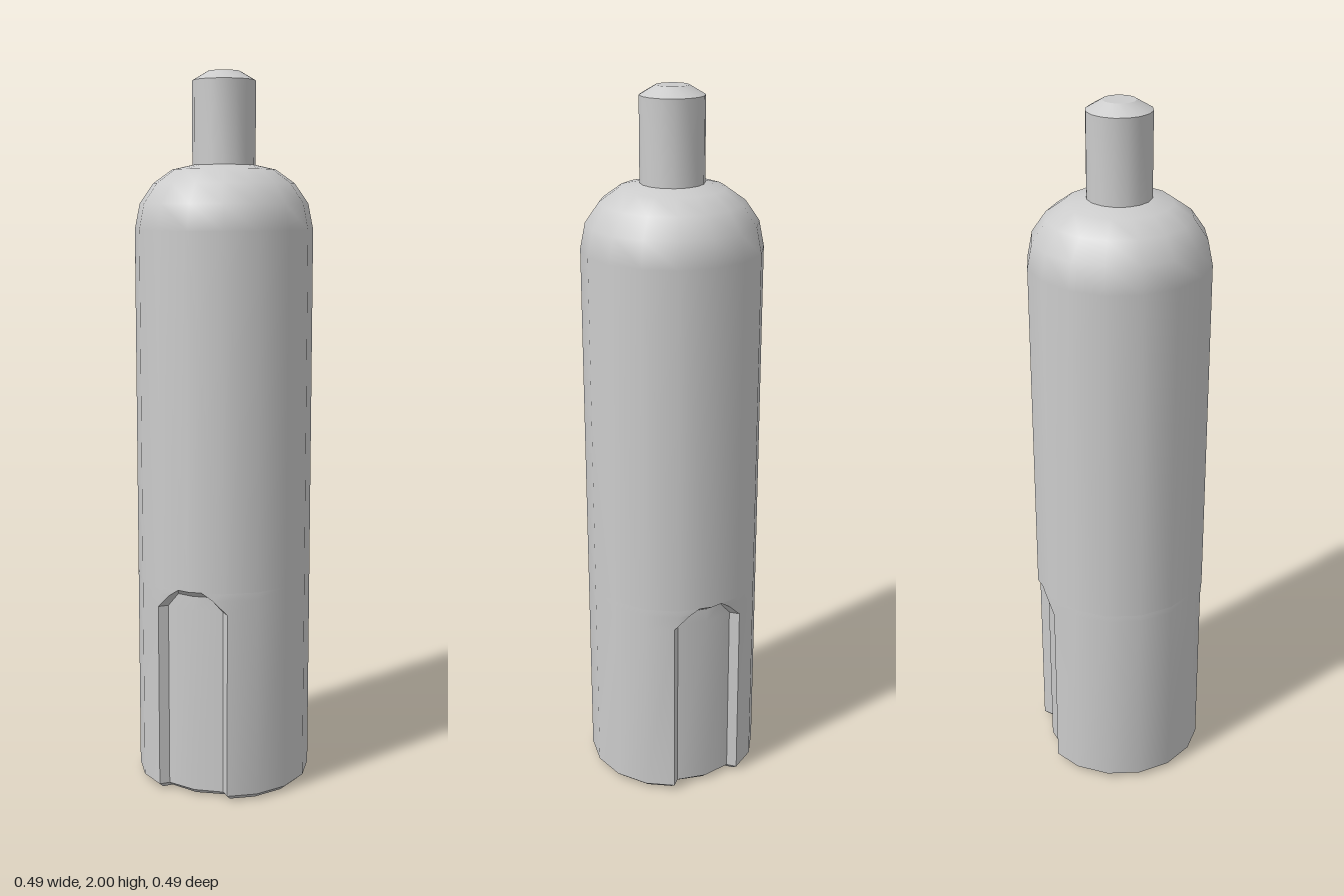
import * as THREE from 'three';
import { toCreasedNormals } from 'three/addons/utils/BufferGeometryUtils.js';

const SIDES = 16, STEP = Math.PI * 2 / SIDES;
const material = new THREE.MeshStandardMaterial({ color: 0xcccccc });

// Radius of the 16-sided outline at an angle measured from +z
function facetRadius(radius, angle) {
  const local = ((angle % STEP) + STEP) % STEP;
  return radius * Math.cos(STEP / 2) / Math.cos(local - STEP / 2);
}

// One ring of the slotted base: slots at front and back, mirrored from a quarter
function slottedRing({ y, radius, floor, inner, outer }) {
  const ai = Math.asin(inner / floor), ao = Math.asin(outer / radius);
  const quarter = [
    [0, floor], [ai, floor], [ao, radius],
    [Math.max(STEP, ao), radius], [2 * STEP, radius], [3 * STEP, radius], [4 * STEP, radius],
  ];
  const mirrored = quarter.slice(1, 6).reverse().map(([a, r]) => [Math.PI - a, r]);
  const half = [...quarter, ...mirrored];
  const ring = [...half, ...half.map(([a, r]) => [a + Math.PI, r])];
  return ring.map(([a, r]) => {
    const f = facetRadius(r, a);
    return [f * Math.sin(a), y, f * Math.cos(a)];
  });
}

function loft(rings) {
  const n = rings[0].length, index = [];
  for (let j = 0; j < rings.length - 1; j++) {
    for (let i = 0; i < n; i++) {
      const a = j * n + i, b = j * n + (i + 1) % n;
      index.push(a, b, b + n, a, b + n, a + n);
    }
  }
  // Bottom cap
  const center = rings.length * n;
  for (let i = 0; i < n; i++) index.push(center, (i + 1) % n, i);
  const geometry = new THREE.BufferGeometry();
  const points = [...rings.flat(), [0, rings[0][0][1], 0]];
  geometry.setAttribute('position', new THREE.Float32BufferAttribute(points.flat(), 3));
  geometry.setIndex(index);
  return geometry;
}

function lathe(profile) {
  return new THREE.LatheGeometry(profile.map(([r, y]) => new THREE.Vector2(r, y)), SIDES);
}

function addPart(group, name, geometry) {
  const mesh = new THREE.Mesh(geometry, material);
  mesh.name = name;
  group.add(mesh);
}

export function createModel() {
  const group = new THREE.Group();
  group.name = 'slottedPin';

  // Base with chamfered foot and two arched, bevelled slots
  const rings = [
    { y: 0, radius: 0.23, floor: 0.2, inner: 0.083, outer: 0.105 },
    { y: 0.015, radius: 0.247, floor: 0.217, inner: 0.083, outer: 0.105 },
    { y: 0.54, radius: 0.247, floor: 0.217, inner: 0.083, outer: 0.105 },
    { y: 0.58, radius: 0.247, floor: 0.217, inner: 0.05, outer: 0.065 },
    { y: 0.6, radius: 0.247, floor: 0.247, inner: 0.035, outer: 0.035 },
  ].map(slottedRing);
  addPart(group, 'slottedBase', toCreasedNormals(loft(rings), 0.6));

  // Plain barrel with rounded shoulder
  addPart(group, 'barrel', lathe([
    [0.247, 0.6], [0.247, 1.575], [0.233, 1.645], [0.195, 1.7], [0.143, 1.737], [0.08, 1.751],
  ]));

  // Tip with chamfered end
  addPart(group, 'tip', toCreasedNormals(lathe([
    [0.087, 1.745], [0.087, 1.975], [0.044, 2], [0, 2],
  ]), 0.45));

  return group;
}
